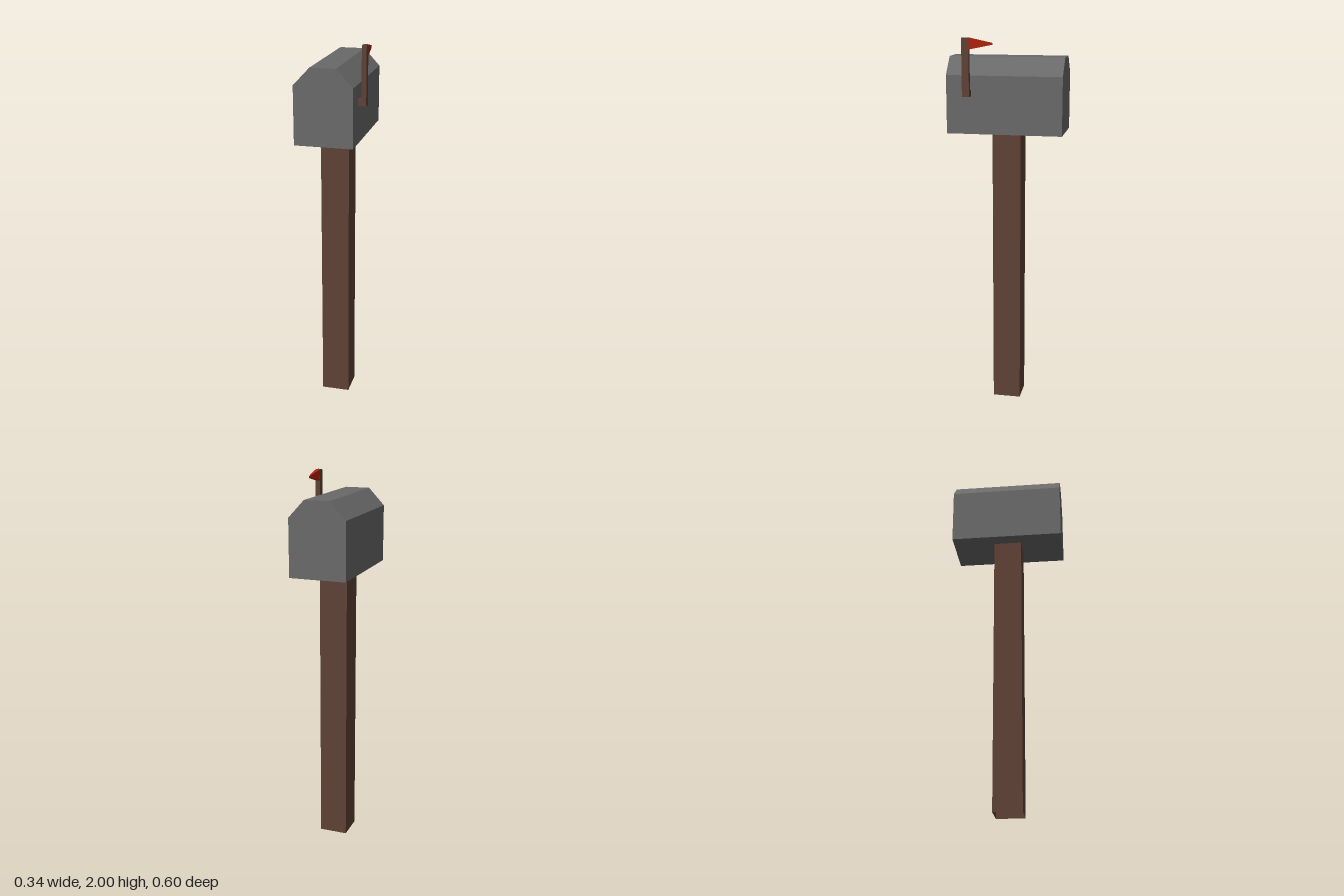
import * as THREE from 'three';

const material = (name, color, side = THREE.FrontSide) => {
  const m = new THREE.MeshStandardMaterial({ color, side, flatShading: true });
  m.name = name;
  return m;
};

export function createModel() {
  const wood = material('brown wood', 0x5f4136, THREE.DoubleSide);
  const metal = material('grey metal', 0x696969);
  const red = material('flag red', 0xac220c);
  const model = new THREE.Group();
  model.name = 'mailbox';

  const add = (name, geometry, mat) => {
    const mesh = new THREE.Mesh(geometry, mat);
    mesh.name = name;
    model.add(mesh);
    return mesh;
  };
  // Box given by its lower and upper limits on each axis
  const block = (x0, x1, y0, y1, z0, z1) =>
    new THREE.BoxGeometry(x1 - x0, y1 - y0, z1 - z0)
      .translate((x0 + x1) / 2, (y0 + y1) / 2, (z0 + z1) / 2);

  // Square hollow post, open at the bottom
  const post = new THREE.CylinderGeometry(0.075 * Math.SQRT2, 0.075 * Math.SQRT2, 1.51, 4, 1, true);
  add('post', post.rotateY(Math.PI / 4).translate(-0.0225, 0.755, 0), wood);

  // Box with chamfered roof, extruded from front to back
  const profile = new THREE.Shape([
    [-0.173, 1.51], [0.128, 1.51], [0.128, 1.81],
    [0.044, 1.9], [-0.088, 1.9], [-0.173, 1.81],
  ].map(([x, y]) => new THREE.Vector2(x, y)));
  const body = new THREE.ExtrudeGeometry(profile, { depth: 0.602, bevelEnabled: false });
  add('mailboxBody', body.translate(0, 0, -0.301), metal);

  // Flag holder: short bracket and upright
  add('flagBracket', block(0.126, 0.148, 1.705, 1.737, 0.171, 0.208), wood);
  add('flagMast', block(0.147, 0.171, 1.705, 2, 0.171, 0.208), wood);

  // Flag tapering in height and thickness towards the back
  const flag = block(-0.012, 0.012, -0.029, 0.029, 0.05, 0.172);
  const p = flag.attributes.position;
  for (let i = 0; i < p.count; i++) {
    const tip = p.getZ(i) < 0.1;
    p.setXYZ(i, 0.159 + p.getX(i) * (tip ? 0.15 : 1), 1.971 + p.getY(i) * (tip ? 0.15 : 1), p.getZ(i));
  }
  flag.computeVertexNormals();
  add('flag', flag, red);

  return model;
}
